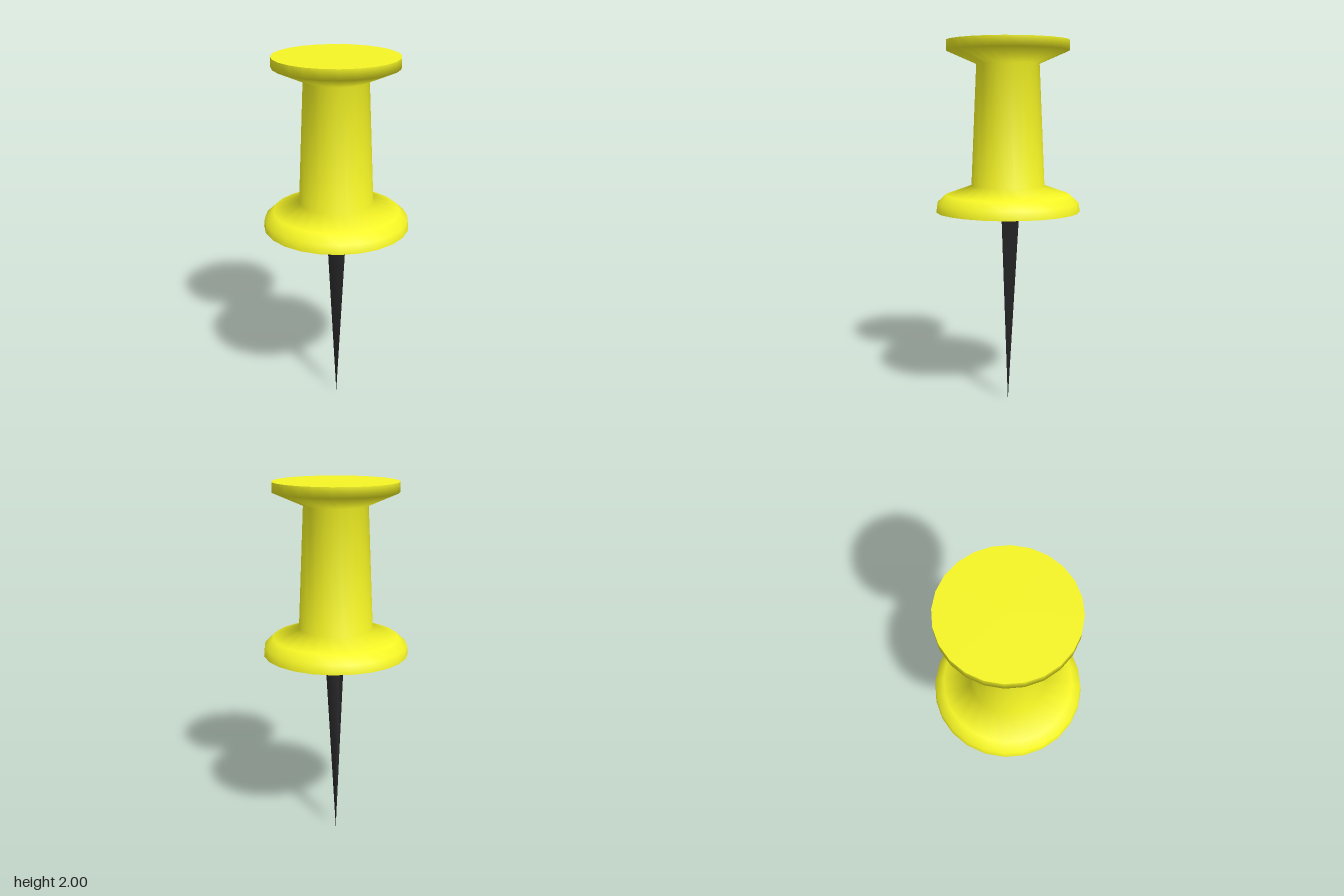
import * as THREE from 'three';

const SIDES = 24;

export function createModel() {
  const model = new THREE.Group();
  const yellow = new THREE.MeshStandardMaterial({ color: 0xf5f525 });
  const dark = new THREE.MeshStandardMaterial({ color: 0x2b2b2d });

  const add = (parent, name, geometry, material) => {
    const mesh = new THREE.Mesh(geometry, material);
    mesh.name = name;
    parent.add(mesh);
    return mesh;
  };

  // Handle: smooth turned side from the flange up to the head (radius, height)
  const handle = new THREE.Group();
  handle.name = 'handle';
  model.add(handle);
  const profile = [
    [0.393, 1.087], [0.387, 1.135], [0.34, 1.178], [0.2, 1.228],
    [0.17, 1.878], [0.33, 1.947], [0.33, 2],
  ].map(([r, y]) => new THREE.Vector2(r, y));
  add(handle, 'handleSide', new THREE.LatheGeometry(profile, SIDES), yellow);

  // Flat discs closing the head and the flange with sharp rims
  const disc = (name, radius, y, facing) => {
    const geometry = new THREE.CircleGeometry(radius, SIDES);
    geometry.rotateX(-facing * Math.PI / 2).translate(0, y, 0);
    add(handle, name, geometry, yellow);
  };
  disc('headTop', 0.33, 2, 1);
  disc('flangeBottom', 0.393, 1.087, -1);

  // Needle: three-sided spike pointing down, one corner towards the back
  const length = 1.087;
  const spike = new THREE.CylinderGeometry(0.063, 0, length, 3, 1, false, Math.PI);
  spike.translate(0, length / 2, 0);
  add(model, 'needle', spike, dark);

  return model;
}
